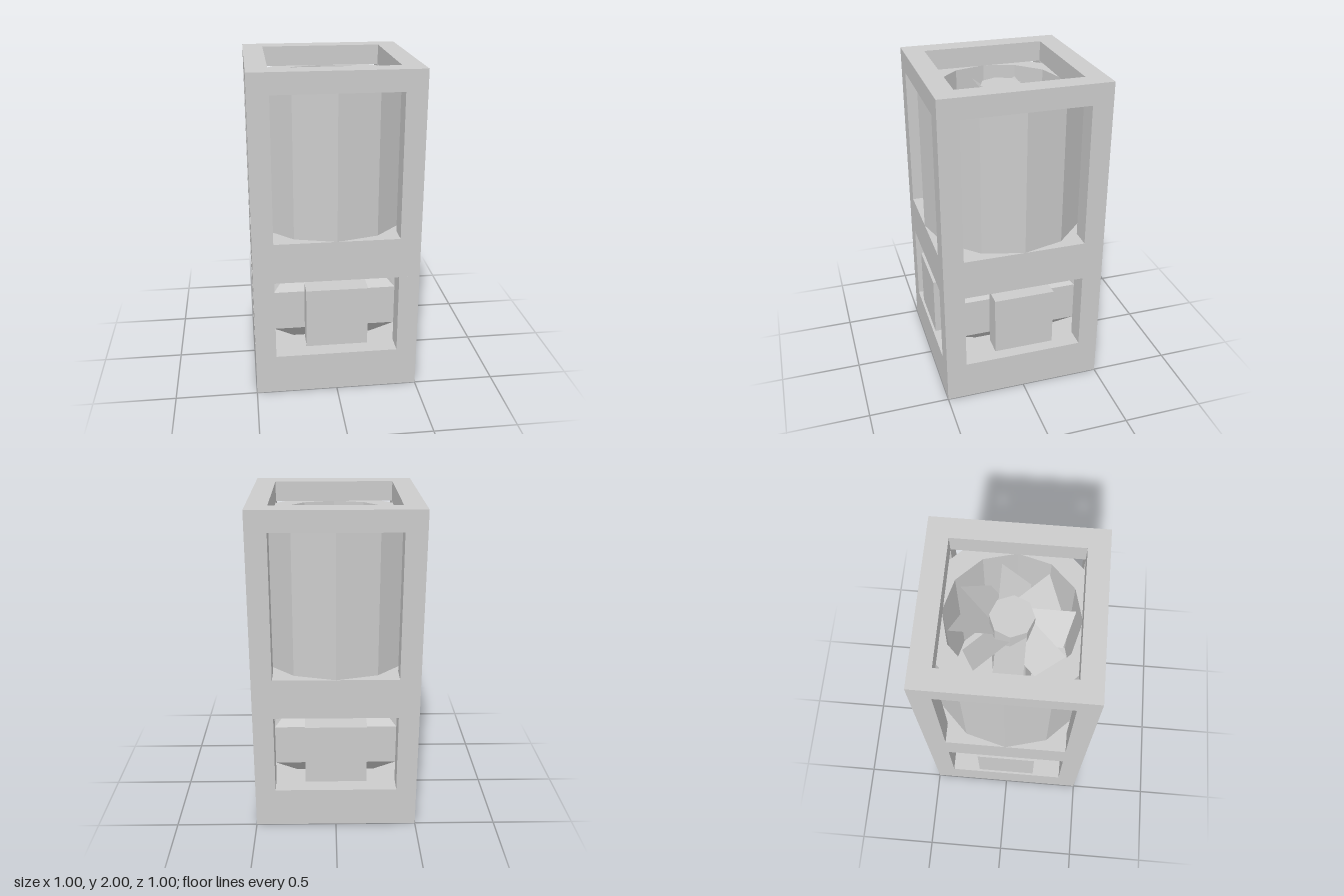
import * as THREE from 'three';

export function createModel() {
  const model = new THREE.Group();
  const mat = new THREE.MeshStandardMaterial({ color: 0xcccccc, flatShading: true });
  const thin = new THREE.MeshStandardMaterial({ color: 0xcccccc, flatShading: true, side: THREE.DoubleSide });

  function add(parent, name, geo, material = mat) {
    const mesh = new THREE.Mesh(geo, material);
    mesh.name = name;
    parent.add(mesh);
    return mesh;
  }
  // box given by its half-width in x and z, its y range and its centre
  function block(parent, name, w, y0, y1, d, x = 0, z = 0) {
    add(parent, name, new THREE.BoxGeometry(w, y1 - y0, d)).position.set(x, (y0 + y1) / 2, z);
  }
  const lathe = (pts, sides) =>
    new THREE.LatheGeometry(pts.map(([r, y]) => new THREE.Vector2(r, y)), sides);

  // Outer frame: base, middle deck, corner posts, square top rim
  const frame = new THREE.Group();
  frame.name = 'frame';
  model.add(frame);
  block(frame, 'base', 1, 0, 0.25, 1);
  block(frame, 'middleDeck', 1, 0.75, 1, 1);
  for (const sx of [-1, 1]) for (const sz of [-1, 1]) {
    block(frame, 'lowerPost', 0.125, 0.25, 0.75, 0.125, sx * 0.4375, sz * 0.4375);
    block(frame, 'upperPost', 0.125, 1, 1.875, 0.125, sx * 0.4375, sz * 0.4375);
  }
  const square = (Type, h) => new Type([[-h, -h], [h, -h], [h, h], [-h, h]].map(([x, y]) => new THREE.Vector2(x, y)));
  const rim = square(THREE.Shape, 0.5);
  rim.holes.push(square(THREE.Path, 0.375));
  const rimGeo = new THREE.ExtrudeGeometry(rim, { depth: 0.125, bevelEnabled: false }).rotateX(-Math.PI / 2);
  add(frame, 'topRim', rimGeo).position.y = 1.875;

  // Thick twelve-sided duct, open at the top
  add(model, 'duct', lathe([[0.38, 1], [0.5, 1], [0.5, 1.875], [0.38, 1.875], [0.38, 1]], 12));

  // Fan: octagonal hub with eight pitched blades
  const fan = new THREE.Group();
  fan.name = 'fan';
  model.add(fan);
  add(fan, 'hub', new THREE.CylinderGeometry(0.125, 0.125, 0.875, 8)).position.y = 1.4375;
  const outline = new THREE.Shape([[-0.104, 0.085], [0.104, 0.085], [0.104, 0.29], [-0.104, 0.345]]
    .map(([x, y]) => new THREE.Vector2(x, y)));
  const bladeGeo = new THREE.ShapeGeometry(outline).rotateX(-Math.PI / 2).rotateZ(-0.61);
  for (let i = 0; i < 8; i++) {
    const blade = add(fan, 'blade', bladeGeo, thin);
    blade.position.y = 1.75;
    blade.rotation.y = i * Math.PI / 4;
  }

  // Core in the lower bay: square body chamfered above and below
  const q = Math.SQRT2;
  const core = add(model, 'core', lathe(
    [[0, 0.25], [0.25 * q, 0.25], [0.375 * q, 0.375], [0.375 * q, 0.625], [0.25 * q, 0.75], [0, 0.75]], 4));
  core.rotation.y = Math.PI / 4;

  // Square port on each side of the core
  for (let i = 0; i < 4; i++) {
    const a = i * Math.PI / 2;
    const port = add(model, 'corePort', new THREE.BoxGeometry(0.375, 0.375, 0.125));
    port.position.set(Math.sin(a) * 0.4375, 0.5, Math.cos(a) * 0.4375);
    port.rotation.y = a;
  }
  return model;
}
